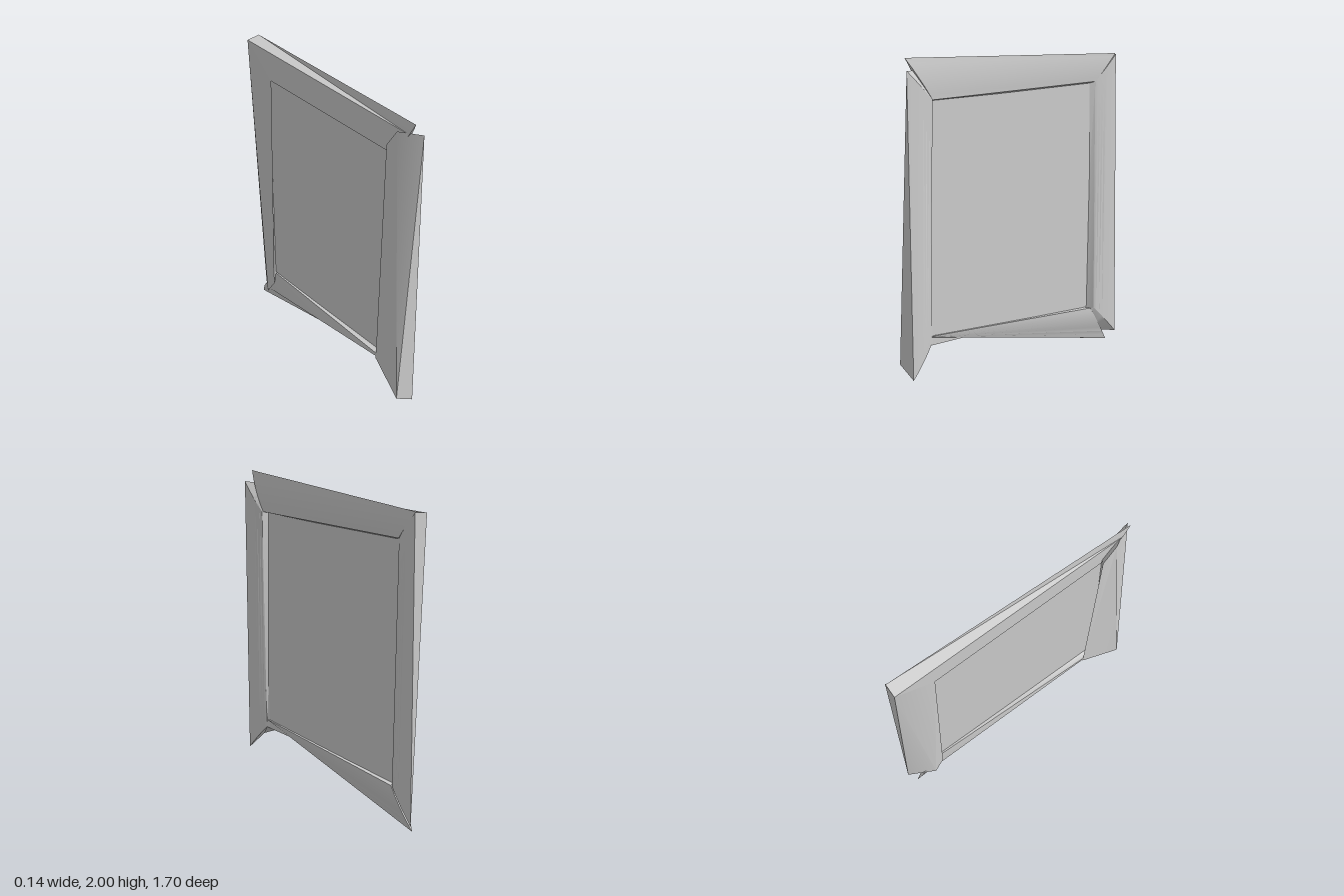
import * as THREE from 'three';
import { toCreasedNormals } from 'three/addons/utils/BufferGeometryUtils.js';

const material = new THREE.MeshStandardMaterial({ color: 0xcccccc, side: THREE.DoubleSide });
const STEPS = 8;

// Cross-section: outer back, outer front, rounded face, inner front, inner back lip
function section({ outerBack, outerFront, innerFront, lip, bulge = 0.02 }) {
  const a = new THREE.Vector3(...outerFront);
  const b = new THREE.Vector3(...innerFront);
  const control = a.clone().lerp(b, 0.5);
  control.x = Math.max(a.x, b.x) + bulge;
  const face = new THREE.QuadraticBezierCurve3(a, control, b).getPoints(STEPS);
  return [new THREE.Vector3(...outerBack), ...face, new THREE.Vector3(...lip)];
}

// Moulding lofted between two skewed mitre sections, capped at both ends
function moulding(name, start, end) {
  const rings = [section(start), section(end)];
  const n = rings[0].length;
  const positions = rings.flat().flatMap((p) => p.toArray());
  const index = [];
  for (let i = 0; i < n; i++) {
    const j = (i + 1) % n;
    index.push(i, j, n + j, i, n + j, n + i);
  }
  for (let i = 1; i < n - 1; i++) {
    index.push(0, i + 1, i, n, n + i, n + i + 1);
  }
  const geometry = new THREE.BufferGeometry();
  geometry.setAttribute('position', new THREE.Float32BufferAttribute(positions, 3));
  geometry.setIndex(index);
  const mesh = new THREE.Mesh(toCreasedNormals(geometry, 0.6), material);
  mesh.name = name;
  return mesh;
}

export function createModel() {
  const group = new THREE.Group();
  group.name = 'warpedFrame';

  // Flat panel held by the frame
  const panel = new THREE.Mesh(new THREE.PlaneGeometry(1.35, 1.505), material);
  panel.name = 'panel';
  panel.rotation.y = Math.PI / 2;
  panel.position.set(0.01, 1.007, 0.005);
  group.add(panel);

  // Four mouldings, going round the panel
  group.add(
    moulding('frontUpright',
      { outerBack: [-0.075, 0.15, 0.845], outerFront: [0.055, 0.08, 0.84], innerFront: [0.02, 0.26, 0.68], lip: [-0.03, 0.27, 0.57], bulge: 0 },
      { outerBack: [-0.03, 1.92, 0.71], outerFront: [0.05, 1.93, 0.85], innerFront: [0.045, 1.75, 0.665], lip: [-0.03, 1.8, 0.62], bulge: 0.01 }),
    moulding('topRail',
      { outerBack: [0, 1.92, 0.78], outerFront: [0.005, 2, 0.83], innerFront: [0.04, 1.75, 0.66], lip: [0, 1.74, 0.63], bulge: 0.005 },
      { outerBack: [-0.035, 1.93, -0.83], outerFront: [0.05, 1.945, -0.83], innerFront: [0.035, 1.77, -0.67], lip: [-0.03, 1.74, -0.57], bulge: 0 }),
    moulding('rearUpright',
      { outerBack: [-0.035, 1.93, -0.83], outerFront: [0.055, 1.94, -0.83], innerFront: [0.03, 1.77, -0.67], lip: [-0.03, 1.74, -0.57], bulge: 0 },
      { outerBack: [-0.03, 0.08, -0.68], outerFront: [0.065, 0.06, -0.85], innerFront: [0.05, 0.255, -0.66], lip: [-0.02, 0.18, -0.61], bulge: 0.005 }),
    moulding('bottomRail',
      { outerBack: [0, 0.07, -0.77], outerFront: [0.015, 0, -0.81], innerFront: [0.04, 0.25, -0.64], lip: [0, 0.255, -0.61], bulge: 0.005 },
      { outerBack: [-0.03, 0.29, 0.59], outerFront: [0.015, 0.31, 0.68], innerFront: [0.02, 0.315, 0.67], lip: [-0.03, 0.31, 0.58], bulge: 0 }),
  );
  return group;
}
